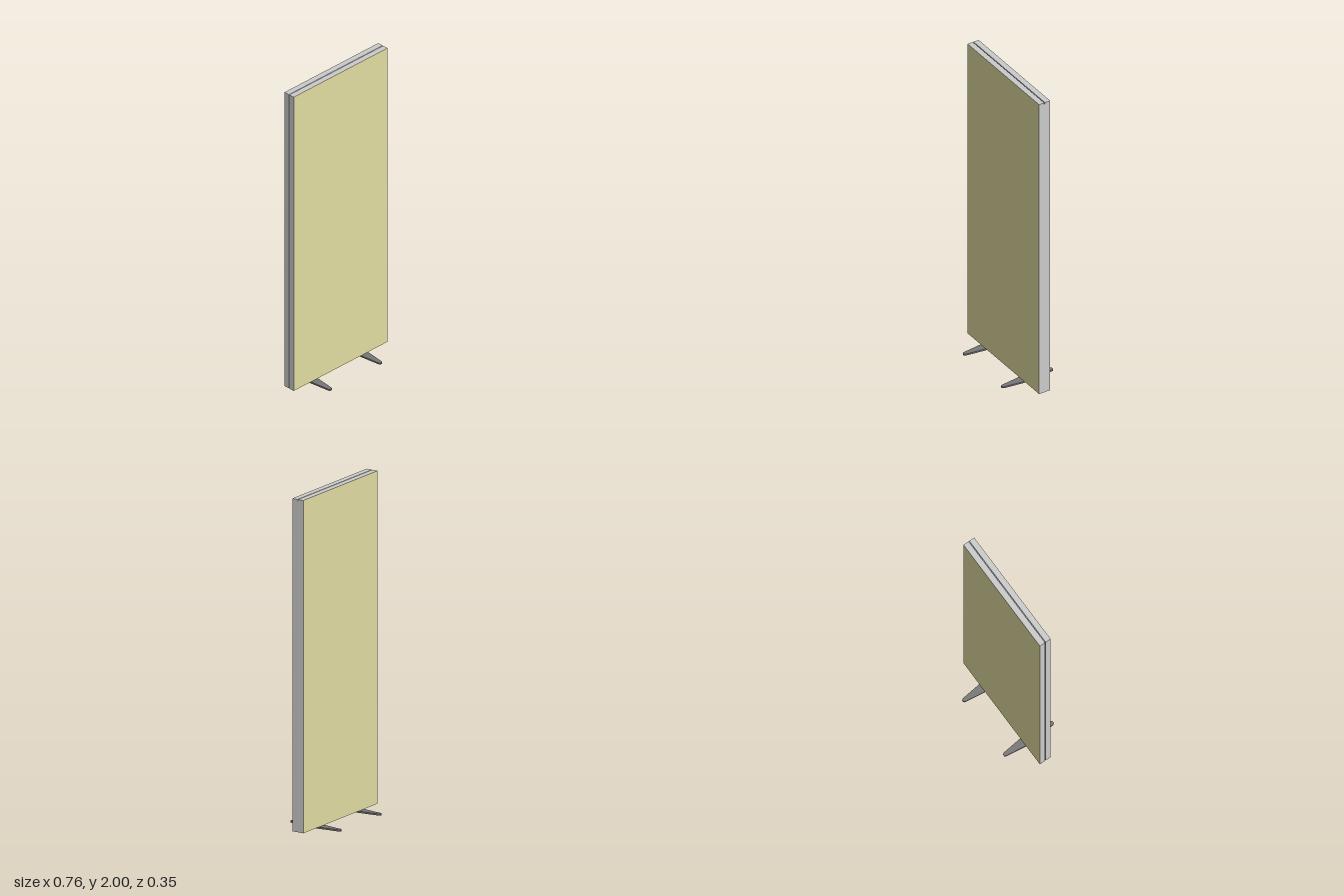
import * as THREE from 'three';

const grey = new THREE.MeshStandardMaterial({ color: 0xcccccc });
const tan = new THREE.MeshStandardMaterial({ color: 0xe3dea3 });
const dark = new THREE.MeshStandardMaterial({ color: 0x777777 });

// Box given by its min and max corners
function slab(name, min, max, material) {
  const size = max.map((v, i) => v - min[i]);
  const mesh = new THREE.Mesh(new THREE.BoxGeometry(...size), material);
  mesh.position.set(...max.map((v, i) => (v + min[i]) / 2));
  mesh.name = name;
  return mesh;
}

// Flat foot: widest under the panel, tapering to chamfered tips
function footGeometry() {
  const quarter = [[0.028, 0.04], [0.012, 0.167], [0.006, 0.1745]];
  const mirrored = quarter.map(([x, z]) => [-x, z]).reverse();
  const half = [...quarter, ...mirrored];
  const outline = [...half, ...half.map(([x, z]) => [-x, -z])];
  const shape = new THREE.Shape(outline.map(([x, z]) => new THREE.Vector2(x, z)));
  const geometry = new THREE.ExtrudeGeometry(shape, { depth: 0.01, bevelEnabled: false });
  return geometry.rotateX(-Math.PI / 2);
}

export function createModel() {
  const model = new THREE.Group();
  model.name = 'partitionScreen';
  const w = 0.38, bottom = 0.01, top = 2;

  // Two boards with coloured outer faces, separated by a narrow seam
  model.add(slab('frontBoard', [-w, bottom, 0.002], [w, top, 0.037],
    [grey, grey, grey, grey, tan, grey]));
  model.add(slab('backBoard', [-w, bottom, -0.039], [w, top, -0.003],
    [grey, grey, grey, grey, grey, tan]));

  // Core between the boards, recessed at the top and at one side
  model.add(slab('core', [-w + 0.01, bottom, -0.003], [w, top - 0.01, 0.002], grey));

  // Pair of feet
  const geometry = footGeometry();
  for (const [name, x] of [['rightFoot', -0.213], ['leftFoot', 0.194]]) {
    const foot = new THREE.Mesh(geometry, dark);
    foot.position.set(x, 0, -0.001);
    foot.name = name;
    model.add(foot);
  }
  return model;
}
